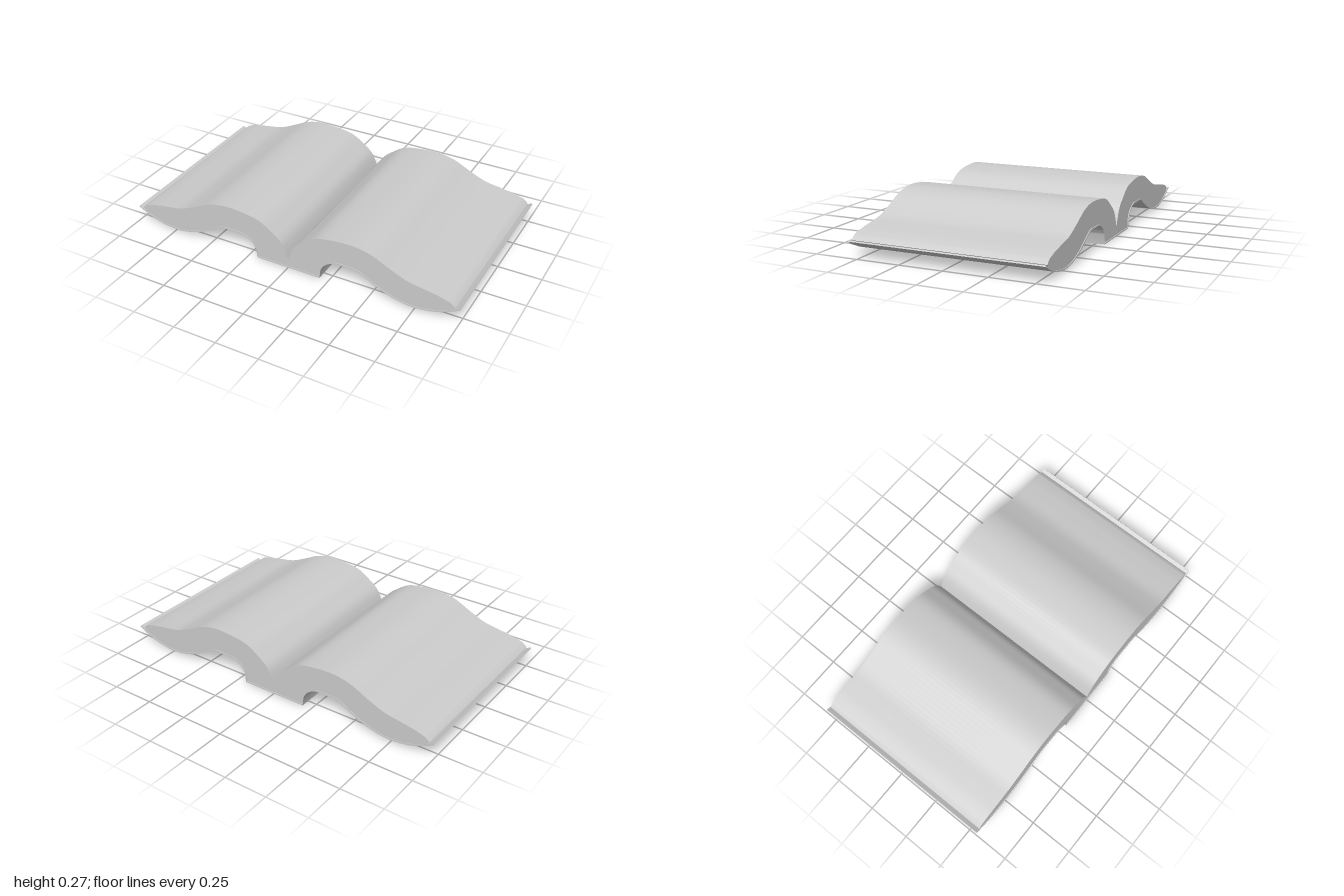
import * as THREE from 'three';
import { toCreasedNormals } from 'three/addons/utils/BufferGeometryUtils.js';

const vecs = (list) => list.map(([x, y]) => new THREE.Vector2(x, y));
const smooth = (list, n) => new THREE.SplineCurve(vecs(list)).getPoints(n);
// Joins a right-hand half profile (outside to centre) with its mirror image
const mirrored = (half) => [...half, ...half.map((p) => new THREE.Vector2(-p.x, p.y)).reverse()];

// Offsets an open path that runs from +x to -x towards its upper side
function offsetUp(points, distance) {
  return points.map((p, i) => {
    const a = points[Math.max(i - 1, 0)];
    const b = points[Math.min(i + 1, points.length - 1)];
    const t = b.clone().sub(a).normalize();
    return new THREE.Vector2(p.x + t.y * distance, p.y - t.x * distance);
  });
}

function extrudeProfile(name, points, length) {
  const geometry = new THREE.ExtrudeGeometry(new THREE.Shape(points), { depth: length, bevelEnabled: false });
  geometry.translate(0, 0, -length / 2);
  const material = new THREE.MeshStandardMaterial({ color: 0xcccccc, side: THREE.DoubleSide });
  const mesh = new THREE.Mesh(toCreasedNormals(geometry, 0.6), material);
  mesh.name = name;
  return mesh;
}

export function createModel() {
  const book = new THREE.Group();
  book.name = 'openBook';

  // Cover: curved board, step down to the spine, flat spine base
  const board = smooth([
    [1, 0.088], [0.94, 0.056], [0.86, 0.026], [0.75, 0.01], [0.65, 0.022], [0.56, 0.052],
    [0.48, 0.093], [0.42, 0.123], [0.35, 0.126], [0.28, 0.123], [0.23, 0.096], [0.203, 0.058],
  ], 44);
  const outer = mirrored([...board, ...vecs([[0.195, 0.0]])]);
  const inner = offsetUp(outer, 0.008);
  book.add(extrudeProfile('cover', [...outer, ...[...inner].reverse()], 1.104));

  // Pages: two swelling halves meeting in a deep gutter
  const top = smooth([
    [0.945, 0.113], [0.88, 0.131], [0.8, 0.145], [0.7, 0.163], [0.6, 0.205], [0.5, 0.252],
    [0.4, 0.272], [0.29, 0.268], [0.18, 0.248], [0.1, 0.198], [0.04, 0.145], [0, 0.055],
  ], 44);
  const upper = mirrored([...vecs([[0.972, 0.09]]), ...top.slice(0, -1), ...vecs([[0.0005, 0.055]])]);
  const lower = inner.filter((p) => Math.abs(p.x) < 0.96);
  book.add(extrudeProfile('pages', [...upper, ...lower.reverse()], 1.096));

  return book;
}
